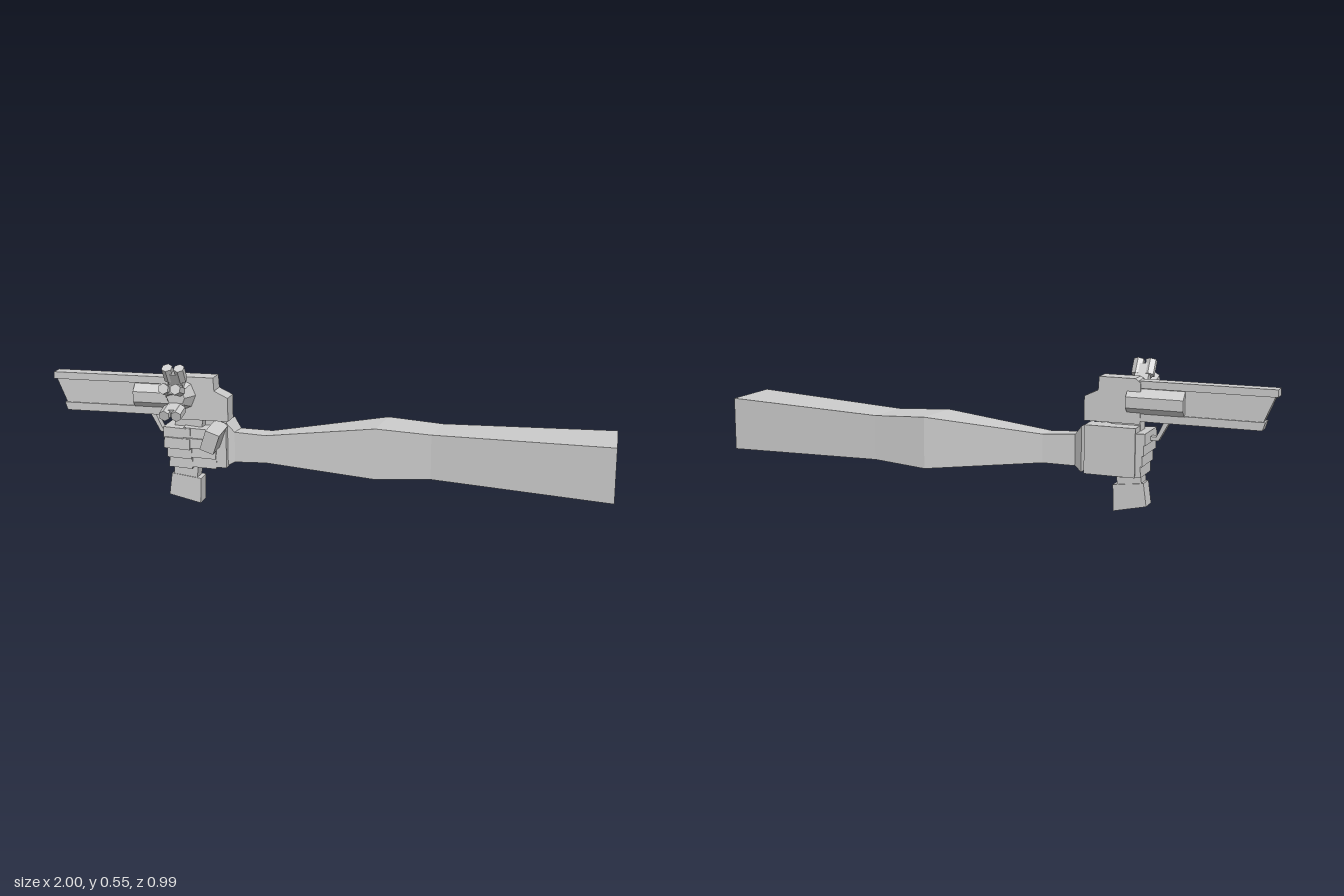
import * as THREE from 'three';

const mat = new THREE.MeshStandardMaterial({ color: 0xcccccc, flatShading: true });

function add(parent, name, geometry) {
  const mesh = new THREE.Mesh(geometry, mat);
  mesh.name = name;
  parent.add(mesh);
  return mesh;
}

// Box given by its limits along x, y and z
function block(parent, name, [x0, x1], [y0, y1], [z0, z1]) {
  const mesh = add(parent, name, new THREE.BoxGeometry(x1 - x0, y1 - y0, z1 - z0));
  mesh.position.set((x0 + x1) / 2, (y0 + y1) / 2, (z0 + z1) / 2);
  return mesh;
}

// Side profile in x, y given thickness from z0 to z1
function plate(parent, name, points, z0, z1) {
  const shape = new THREE.Shape(points.map(([x, y]) => new THREE.Vector2(x, y)));
  const geometry = new THREE.ExtrudeGeometry(shape, { depth: z1 - z0, bevelEnabled: false });
  geometry.translate(0, 0, z0);
  return add(parent, name, geometry);
}

// Four-sided loft: each section is [back x, back z, front x, front z, low y, high y]
function loft(sections) {
  const rings = sections.map(([ax, az, bx, bz, lo, hi]) =>
    [[ax, lo, az], [bx, lo, bz], [bx, hi, bz], [ax, hi, az]]);
  const pos = [];
  const quad = (a, b, c, d) => pos.push(...a, ...b, ...c, ...a, ...c, ...d);
  for (let i = 0; i < rings.length - 1; i++) {
    const r = rings[i], s = rings[i + 1];
    for (let j = 0; j < 4; j++) {
      const k = (j + 1) % 4;
      quad(r[j], s[j], s[k], r[k]);
    }
  }
  const e = rings[rings.length - 1];
  quad(...rings[0]);
  quad(e[3], e[2], e[1], e[0]);
  const geometry = new THREE.BufferGeometry();
  geometry.setAttribute('position', new THREE.Float32BufferAttribute(pos, 3));
  geometry.computeVertexNormals();
  return geometry;
}

function buildGun(parent) {
  const gun = new THREE.Group();
  gun.name = 'revolver';
  parent.add(gun);

  // Barrel with raised rails above and below
  block(gun, 'topRail', [-1.095, -0.5], [0.46, 0.487], [0.012, 0.065]);
  plate(gun, 'barrel', [[-1.085, 0.46], [-1.045, 0.365], [-0.5, 0.365], [-0.5, 0.46]], 0.018, 0.059);
  plate(gun, 'bottomRail', [[-1.055, 0.37], [-1.045, 0.34], [-0.5, 0.34], [-0.5, 0.37]], 0.012, 0.065);

  // Frame with stepped back
  plate(gun, 'frame', [[-0.61, 0.33], [-0.4, 0.33], [-0.4, 0.42], [-0.42, 0.43],
    [-0.452, 0.445], [-0.455, 0.495], [-0.59, 0.495], [-0.61, 0.48]], 0.008, 0.078);

  // Cylinder around the barrel axis
  const cyl = add(gun, 'cylinder', new THREE.CylinderGeometry(0.052, 0.052, 0.21, 8));
  cyl.geometry.rotateY(Math.PI / 8);
  cyl.rotation.z = Math.PI / 2;
  cyl.position.set(-0.665, 0.41, 0.038);

  // Grip with slanted butt
  plate(gun, 'gripStem', [[-0.62, 0.09], [-0.53, 0.09], [-0.5, 0.34], [-0.61, 0.34]], 0.014, 0.072);
  plate(gun, 'gripButt', [[-0.64, 0.03], [-0.517, 0.002], [-0.513, 0.1], [-0.628, 0.115]], 0.01, 0.075);

  // Trigger guard
  plate(gun, 'triggerGuard', [[-0.715, 0.345], [-0.675, 0.272], [-0.6, 0.272], [-0.6, 0.286],
    [-0.667, 0.286], [-0.695, 0.345]], 0.025, 0.055);

  // Flared side piece: tapered hub with three cleft prongs
  const hub = add(gun, 'sideHub', new THREE.CylinderGeometry(0.035, 0.065, 0.06, 8));
  hub.rotation.x = Math.PI / 2;
  hub.position.set(-0.585, 0.425, 0.1);
  for (const [y, z, tilt] of [[0.505, 0.126, 1.0], [0.46, 0.155, 0.32], [0.382, 0.155, -0.25]]) {
    const prong = new THREE.Group();
    prong.name = 'sideProng';
    prong.position.set(-0.585, y, z);
    prong.rotation.x = -tilt;
    gun.add(prong);
    block(prong, 'prongBase', [-0.026, 0.026], [-0.016, 0.016], [-0.045, 0.025]);
    for (const s of [-1, 1]) {
      const lobe = add(prong, 'prongLobe', new THREE.CylinderGeometry(0.021, 0.021, 0.06, 6));
      lobe.rotation.x = Math.PI / 2;
      lobe.position.set(s * 0.023, 0, 0.015);
    }
  }
}

function buildHand(parent) {
  const hand = new THREE.Group();
  hand.name = 'hand';
  parent.add(hand);
  block(hand, 'palm', [-0.61, -0.42], [0.145, 0.325], [-0.046, 0.03]);
  block(hand, 'heel', [-0.52, -0.41], [0.148, 0.3], [0.02, 0.075]);

  // Four fingers wrapped round the grip, with bent tips
  [[0.283, 0.11], [0.245, 0.118], [0.205, 0.1], [0.165, 0.092]].forEach(([y, reach], i) => {
    const finger = block(hand, 'finger', [-0.645 + i * 0.005, -0.54], [y - 0.021, y + 0.021], [-0.04, reach]);
    finger.rotation.z = -0.05;
    const tip = block(hand, 'fingerTip', [-0.57, -0.45], [y - 0.019, y + 0.019], [0.06, reach - 0.008]);
    tip.rotation.set(0, 0.12, -0.08);
  });

  // Thumb reaching across the back of the grip
  const thumb = block(hand, 'thumb', [-0.475, -0.42], [0.235, 0.315], [0.04, 0.165]);
  thumb.rotation.set(0.1, 0, -0.35);
}

export function createModel() {
  const model = new THREE.Group();
  model.name = 'armWithRevolver';

  // Arm from wrist to shoulder end
  add(model, 'arm', loft([
    [-0.395, 0.12, -0.36, 0.215, 0.15, 0.32],
    [-0.355, 0.13, -0.335, 0.195, 0.165, 0.282],
    [-0.25, 0.07, -0.225, 0.145, 0.168, 0.275],
    [0.1, -0.2, 0.16, -0.02, 0.13, 0.325],
    [0.3, -0.27, 0.35, -0.105, 0.143, 0.313],
    [0.905, -0.5, 1, -0.28, 0.125, 0.33],
  ]));

  // Hand and revolver share the aiming direction
  const aim = new THREE.Group();
  aim.name = 'handAndRevolver';
  aim.rotation.y = 0.408;
  model.add(aim);
  buildHand(aim);
  buildGun(aim);
  return model;
}
